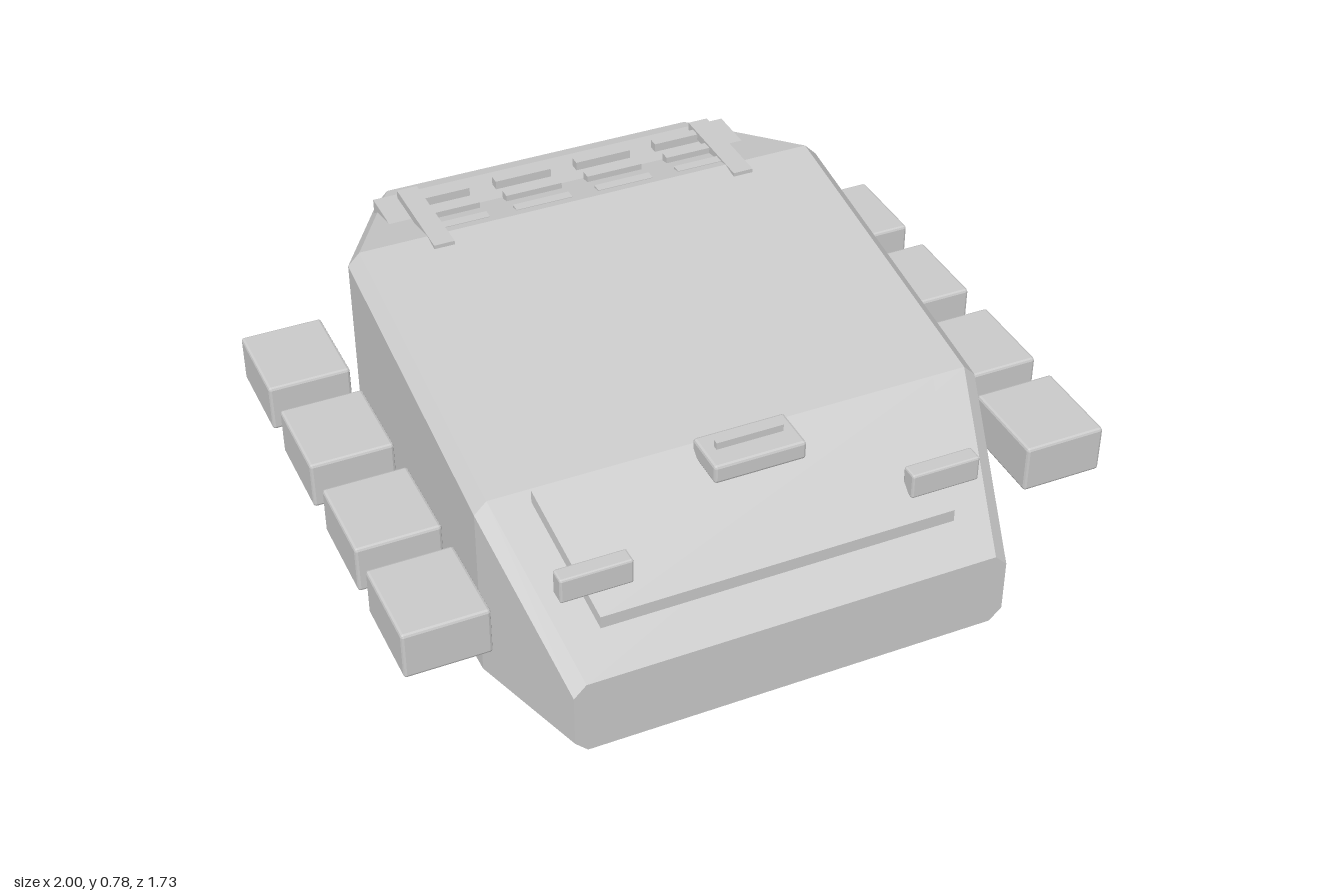
import * as THREE from 'three';
import { RoundedBoxGeometry } from 'three/addons/geometries/RoundedBoxGeometry.js';

const material = new THREE.MeshStandardMaterial({ color: 0xcccccc, flatShading: true });

// Lofts rings of [x, y, z] points (counter-clockwise seen from +z), ordered back to front, and caps both ends.
function loft(rings) {
  const n = rings[0].length;
  const index = [];
  for (let r = 0; r < rings.length - 1; r++) {
    for (let i = 0; i < n; i++) {
      const a = r * n + i, b = r * n + (i + 1) % n;
      index.push(a, b, b + n, a, b + n, a + n);
    }
  }
  const last = (rings.length - 1) * n;
  for (let i = 1; i < n - 1; i++) {
    index.push(0, i + 1, i, last, last + i, last + i + 1);
  }
  const geometry = new THREE.BufferGeometry();
  geometry.setAttribute('position', new THREE.Float32BufferAttribute(rings.flat(2), 3));
  geometry.setIndex(index);
  const flat = geometry.toNonIndexed();
  flat.computeVertexNormals();
  return flat;
}

// Chamfered rectangular hull section
function section(z, w, low, high, c = 0.035) {
  return [
    [w - c, low, z], [w, low + c, z], [w, high - c, z], [w - c, high, z],
    [c - w, high, z], [-w, high - c, z], [-w, low + c, z], [c - w, low, z],
  ];
}

export function createModel() {
  const model = new THREE.Group();

  function add(name, geometry, x = 0, y = 0, z = 0, parent = model) {
    const mesh = new THREE.Mesh(geometry, material);
    mesh.name = name;
    mesh.position.set(x, y, z);
    parent.add(mesh);
    return mesh;
  }
  function group(name) {
    const g = new THREE.Group();
    g.name = name;
    model.add(g);
    return g;
  }
  const box = (w, h, d) => new THREE.BoxGeometry(w, h, d);
  const softBox = (w, h, d, r = 0.008) => new RoundedBoxGeometry(w, h, d, 1, r);

  // Faceted hull
  add('hull', loft([
    section(-0.865, 0.51, 0.105, 0.705),
    section(-0.475, 0.72, 0.005, 0.785),
    section(0.475, 0.72, 0.025, 0.62),
    section(0.865, 0.62, 0.065, 0.29),
  ]));

  // Tapered hatch lying on the sloped nose
  const hatchRing = (z, w, y) => [[w, y - 0.02, z], [w, y + 0.037, z], [-w, y + 0.037, z], [-w, y - 0.02, z]];
  add('frontHatch', loft([hatchRing(0.5, 0.575, 0.599), hatchRing(0.77, 0.505, 0.37)]));

  // Hatch handle with a thin ridge
  const handle = group('hatchHandle');
  add('handleBlock', softBox(0.26, 0.055, 0.135), 0, 0.632, 0.567, handle);
  add('handleRidge', box(0.19, 0.03, 0.015), 0, 0.665, 0.562, handle);

  // Rear deck plate with three rows of vent slats
  const vents = group('rearVents');
  add('ventPlate', box(1.1, 0.1, 0.26), 0, 0.705, -0.63, vents);
  for (const z of [-0.683, -0.6, -0.52]) {
    for (const x of [-0.375, -0.125, 0.125, 0.375]) {
      add('ventSlat', box(0.17, 0.035, 0.03), x, 0.763, z, vents);
    }
  }

  for (const side of [-1, 1]) {
    const label = side > 0 ? 'left' : 'right';
    // Side pods
    for (const z of [0.565, 0.215, -0.155, -0.525]) {
      add(label + 'SidePod', softBox(0.235, 0.14, 0.27), side * 0.8825, 0.4, z);
    }
    // Hatch latches, roof rails and rear corner hinges
    add(label + 'HatchLatch', softBox(0.2, 0.075, 0.05, 0.006), side * 0.495, 0.488, 0.705);
    add(label + 'VentRail', box(0.06, 0.024, 0.31), side * 0.457, 0.775, -0.575, vents);
    add(label + 'RearHinge', softBox(0.035, 0.078, 0.025, 0.004), side * 0.5, 0.355, -0.855);
  }
  return model;
}
